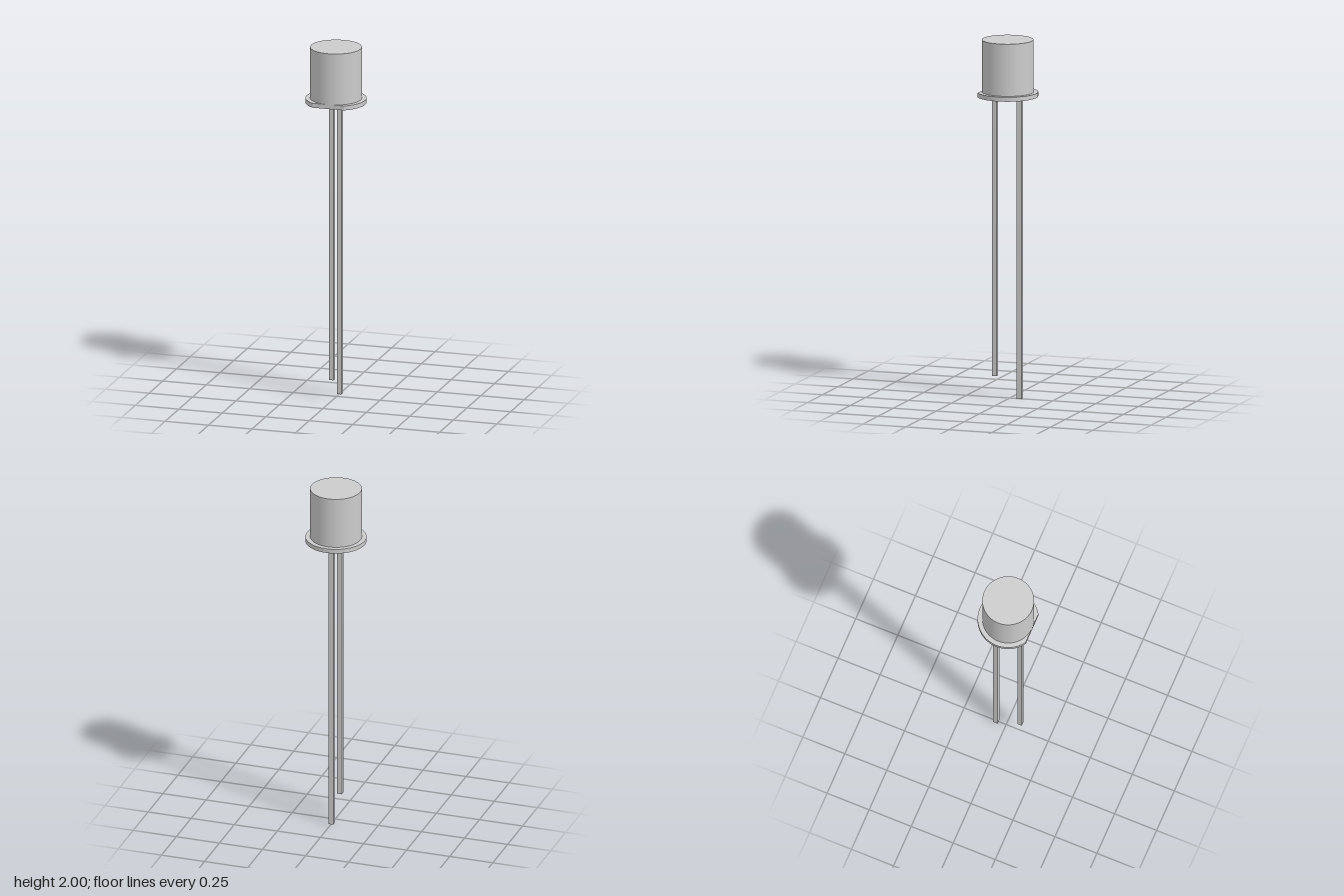
import * as THREE from 'three';
import { toCreasedNormals } from 'three/addons/utils/BufferGeometryUtils.js';

const AXIS_Z = 0.012;      // the round case sits slightly forward of centre
const BODY_R = 0.142;
const FLANGE_R = 0.168;
const FLANGE_Y = 1.684;
const FLANGE_H = 0.025;
const LEAD = 0.027;

export function createModel() {
  const group = new THREE.Group();
  const material = new THREE.MeshStandardMaterial({ color: 0xcccccc });

  const add = (name, geometry, x, y, z) => {
    const mesh = new THREE.Mesh(geometry, material);
    mesh.name = name;
    mesh.position.set(x, y, z);
    group.add(mesh);
  };

  // Cylindrical case with a flat top
  const bodyBottom = FLANGE_Y + FLANGE_H;
  const bodyH = 2 - bodyBottom;
  add('body', new THREE.CylinderGeometry(BODY_R, BODY_R, bodyH, 64), 0, bodyBottom + bodyH / 2, AXIS_Z);

  // Rim disc, cut flat at the front where it meets the case
  const cut = Math.acos(BODY_R / FLANGE_R);
  const outline = new THREE.Shape();
  outline.absarc(0, 0, FLANGE_R, -Math.PI / 2 + cut, Math.PI * 1.5 - cut, false);
  outline.closePath();
  const flange = new THREE.ExtrudeGeometry(outline, { depth: FLANGE_H, bevelEnabled: false, curveSegments: 64 });
  flange.rotateX(-Math.PI / 2);
  add('flange', toCreasedNormals(flange, 0.4), 0, FLANGE_Y, AXIS_Z);

  // Two square wire leads of unequal length
  const leads = [['shortLead', 0.073, 0.12], ['longLead', -0.071, 0]];
  for (const [name, dz, bottom] of leads) {
    const h = FLANGE_Y - bottom;
    add(name, new THREE.BoxGeometry(LEAD, h, LEAD), 0, bottom + h / 2, AXIS_Z + dz);
  }

  return group;
}
